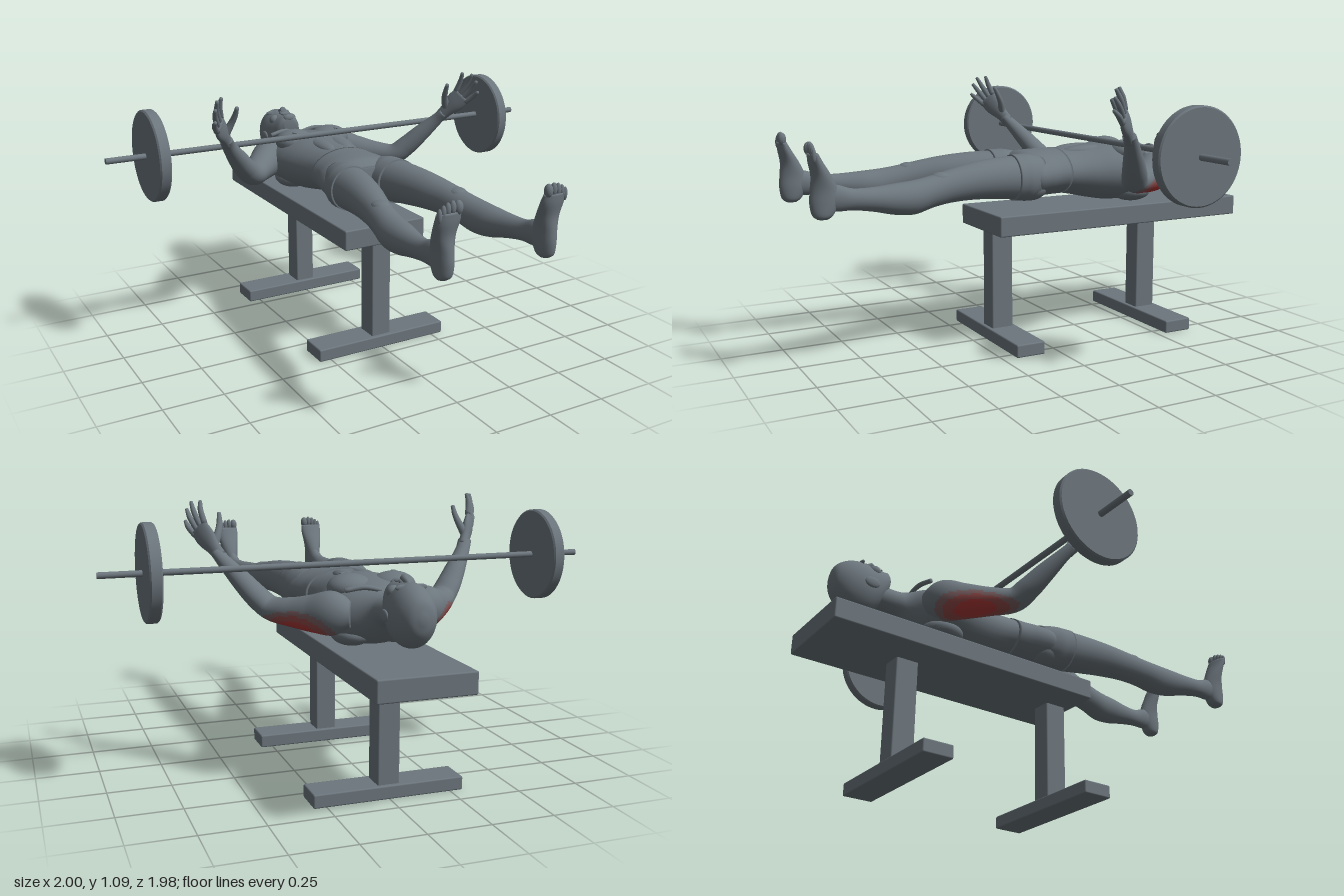
import * as THREE from 'three';
import { toCreasedNormals } from 'three/addons/utils/BufferGeometryUtils.js';
import { RoundedBoxGeometry } from 'three/addons/geometries/RoundedBoxGeometry.js';

const material = (name, color) => {
  const m = new THREE.MeshStandardMaterial({ color });
  m.name = name;
  return m;
};
const V = (x, y, z) => new THREE.Vector3(x, y, z);

export function createModel() {
  const root = new THREE.Group();
  root.name = 'benchPress';
  const grey = material('slateGrey', 0x6c767d);
  const redEdge = material('dullRed', 0x7c5f62);
  const redMid = material('mutedRed', 0x944a49);
  const redCore = material('muscleRed', 0xae3a38);

  const add = (name, geo, parent = root, mat = grey) => {
    const mesh = new THREE.Mesh(geo, mat);
    mesh.name = name;
    parent.add(mesh);
    return mesh;
  };
  const group = (name) => {
    const g = new THREE.Group();
    g.name = name;
    root.add(g);
    return g;
  };

  // Closed smooth skin through elliptical stations [x, y, z, a, b].
  // axis fixes the ring plane; without it rings follow the path.
  function loft(st, { axis = null, ref = V(1, 0, 0), seg = 28, sub = 5, paint = null } = {}) {
    const path = new THREE.CatmullRomCurve3(st.map(s => V(s[0], s[1], s[2])), false, 'catmullrom', 0.5);
    const size = new THREE.CatmullRomCurve3(st.map(s => V(s[3], s[4], 0)), false, 'catmullrom', 0.5);
    const steps = (st.length - 1) * sub;
    const pos = [];
    for (let i = -1; i <= steps + 1; i++) {
      const t = Math.min(1, Math.max(0, i / steps));
      const k = i < 0 || i > steps ? 0 : 1;
      const c = path.getPoint(t), r = size.getPoint(t);
      const n = axis || path.getTangent(t);
      const u = ref.clone().addScaledVector(n, -ref.dot(n)).normalize();
      const v = n.clone().cross(u);
      for (let j = 0; j < seg; j++) {
        const th = j / seg * Math.PI * 2;
        const p = c.clone().addScaledVector(u, k * r.x * Math.cos(th)).addScaledVector(v, k * r.y * Math.sin(th));
        pos.push(p.x, p.y, p.z);
      }
    }
    const lists = [[], [], [], []];
    for (let i = 0; i < steps + 2; i++) for (let j = 0; j < seg; j++) {
      const a = i * seg + j, b = i * seg + (j + 1) % seg;
      const list = lists[paint ? paint((i - 0.5) / steps, (j + 0.5) / seg * 2) : 0];
      list.push(a, b, b + seg, a, b + seg, a + seg);
    }
    const geo = new THREE.BufferGeometry();
    geo.setAttribute('position', new THREE.Float32BufferAttribute(pos, 3));
    geo.setIndex(lists.flat());
    if (paint) {
      let start = 0;
      lists.forEach((l, m) => { geo.addGroup(start, l.length, m); start += l.length; });
    }
    geo.computeVertexNormals();
    return geo;
  }
  const blob = (x, y, z, rx, ry, rz) => new THREE.SphereGeometry(1, 24, 16).scale(rx, ry, rz).translate(x, y, z);

  // Copy of a geometry reflected to the other side of the body
  function mirror(geo) {
    const g = geo.clone().scale(-1, 1, 1), ix = g.index.array;
    for (let i = 0; i < ix.length; i += 3) [ix[i], ix[i + 1]] = [ix[i + 1], ix[i]];
    g.computeVertexNormals();
    return g;
  }
  const pair = (name, geo, parent, mat = grey) => {
    add(name + 'Left', geo, parent, mat);
    add(name + 'Right', mirror(geo), parent, mat);
  };

  // Bench
  const bench = group('bench');
  const box = (name, w, h, d, y, z) =>
    add(name, new RoundedBoxGeometry(w, h, d, 2, 0.006).translate(0, y, z), bench);
  box('benchPad', 0.376, 0.085, 1.195, 0.518, -0.388);
  for (const [n, z] of [['front', 0.13], ['rear', -0.6]]) {
    box(n + 'Post', 0.088, 0.45, 0.096, 0.265, z);
    box(n + 'Foot', 0.604, 0.054, 0.128, 0.027, z);
  }

  // Barbell
  const bell = group('barbell');
  add('bar', new THREE.CylinderGeometry(0.0125, 0.0125, 2, 24).rotateZ(Math.PI / 2).translate(0, 0.845, -0.28), bell);
  const rim = [[0, -0.024], [0.181, -0.024], [0.187, -0.018], [0.187, 0.018], [0.181, 0.024], [0, 0.024]];
  for (const s of [-1, 1]) {
    const plate = new THREE.LatheGeometry(rim.map(p => new THREE.Vector2(...p)), 64);
    add('weightPlate', toCreasedNormals(plate.rotateZ(Math.PI / 2).translate(s * 0.813, 0.845, -0.28), 0.5), bell);
  }

  // Neck and torso: [z, half width, bottom, top]
  const body = group('body');
  const Z = V(0, 0, 1);
  const slices = (rows) => rows.map(([z, w, lo, hi]) => [0, (lo + hi) / 2, z, w, (hi - lo) / 2]);
  add('torso', loft(slices([
    [-0.76, 0.055, 0.675, 0.78], [-0.66, 0.064, 0.665, 0.775], [-0.615, 0.088, 0.63, 0.782],
    [-0.56, 0.165, 0.59, 0.80], [-0.50, 0.2, 0.566, 0.812], [-0.42, 0.196, 0.566, 0.822],
    [-0.36, 0.183, 0.57, 0.822], [-0.28, 0.164, 0.585, 0.812], [-0.2, 0.153, 0.603, 0.805],
    [-0.12, 0.158, 0.615, 0.803], [-0.04, 0.173, 0.612, 0.802], [0.03, 0.18, 0.61, 0.795],
    [0.075, 0.13, 0.63, 0.765]]), { axis: Z, seg: 40 }), body);
  add('shortsSeat', loft(slices([
    [-0.145, 0.161, 0.61, 0.807], [-0.09, 0.166, 0.609, 0.806], [-0.03, 0.181, 0.606, 0.805],
    [0.03, 0.187, 0.606, 0.798], [0.07, 0.14, 0.625, 0.77]]), { axis: Z, seg: 40 }), body);
  pair('chestMuscle', blob(0.088, 0.782, -0.455, 0.088, 0.052, 0.085), body);
  pair('nipple', blob(0.105, 0.828, -0.418, 0.012, 0.005, 0.012), body);
  pair('abdominal', blob(0.04, 0.79, -0.28, 0.038, 0.026, 0.12), body);
  pair('shoulderBlade', blob(0.09, 0.61, -0.48, 0.08, 0.046, 0.09), body);
  pair('buttock', blob(0.088, 0.66, 0.03, 0.082, 0.058, 0.08), body);
  pair('collarbone', loft([[0.015, 0.787, -0.592, 0.008, 0.008], [0.08, 0.80, -0.585, 0.01, 0.01],
    [0.15, 0.79, -0.575, 0.009, 0.009]], { ref: V(0, 1, 0), seg: 12 }), body);

  // Head and face
  const head = group('head');
  add('skull', loft(slices([
    [-0.936, 0.012, 0.725, 0.755], [-0.922, 0.047, 0.678, 0.802], [-0.885, 0.073, 0.637, 0.834],
    [-0.835, 0.084, 0.621, 0.85], [-0.785, 0.081, 0.628, 0.846], [-0.74, 0.07, 0.665, 0.843],
    [-0.705, 0.053, 0.725, 0.842], [-0.688, 0.028, 0.775, 0.828]]), { axis: Z, seg: 36 }), head);
  add('nose', loft([[0, 0.838, -0.815, 0.009, 0.01], [0, 0.851, -0.785, 0.011, 0.012],
    [0, 0.859, -0.765, 0.015, 0.014], [0, 0.848, -0.755, 0.012, 0.006]], { axis: Z, seg: 16 }), head);
  add('upperLip', blob(0, 0.846, -0.738, 0.026, 0.009, 0.006), head);
  add('lowerLip', blob(0, 0.845, -0.727, 0.022, 0.009, 0.006), head);
  add('chin', blob(0, 0.831, -0.703, 0.026, 0.018, 0.017), head);
  pair('nostril', blob(0.013, 0.846, -0.763, 0.008, 0.008, 0.008), head);
  pair('brow', blob(0.033, 0.834, -0.826, 0.027, 0.012, 0.008), head);
  pair('eye', blob(0.032, 0.83, -0.808, 0.014, 0.01, 0.008), head);
  pair('cheek', blob(0.042, 0.812, -0.77, 0.026, 0.024, 0.026), head);
  pair('ear', blob(0.086, 0.735, -0.795, 0.009, 0.022, 0.032), head);

  // Arms, with the triceps highlighted on the underside
  const arms = group('arms');
  const triceps = (t, th) => {
    const d = Math.hypot((t - 0.31) / 0.21, (th - 1.17) / 0.4);
    return d < 0.5 ? 3 : d < 0.78 ? 2 : d < 1 ? 1 : 0;
  };
  pair('arm', loft([
    [0.12, 0.70, -0.56, 0.05, 0.055], [0.18, 0.70, -0.53, 0.083, 0.075], [0.24, 0.692, -0.467, 0.071, 0.068],
    [0.30, 0.688, -0.395, 0.056, 0.061], [0.357, 0.693, -0.322, 0.047, 0.055], [0.405, 0.735, -0.285, 0.045, 0.051],
    [0.455, 0.795, -0.245, 0.039, 0.042], [0.507, 0.86, -0.2, 0.028, 0.03], [0.533, 0.9, -0.17, 0.022, 0.028]],
    { ref: V(0, 1, 0), seg: 48, sub: 10, paint: triceps }), arms, [grey, redEdge, redMid, redCore]);

  // Hands
  const across = V(0.46, -0.72, 0.46);
  pair('palm', loft([[0.52, 0.88, -0.183, 0.026, 0.022], [0.54, 0.912, -0.16, 0.03, 0.02],
    [0.565, 0.95, -0.132, 0.043, 0.019], [0.587, 0.988, -0.105, 0.042, 0.013]], { ref: across }), arms);
  const tips = [[0.575, 1.09, -0.092], [0.605, 1.085, -0.06], [0.62, 1.055, -0.045], [0.625, 1.008, -0.038]];
  tips.forEach((tip, i) => {
    const base = V(0.583, 0.981, -0.11).addScaledVector(across, -0.034 + i * 0.0227);
    const mid = base.clone().lerp(V(...tip), 0.55).add(V(0.006, 0.002, 0));
    pair('finger', loft([[...base.toArray(), 0.012, 0.012], [...mid.toArray(), 0.011, 0.011],
      [...tip, 0.007, 0.007]], { seg: 12 }), arms);
  });
  pair('thumb', loft([[0.54, 0.925, -0.16, 0.02, 0.017], [0.519, 0.968, -0.145, 0.015, 0.014],
    [0.508, 1.005, -0.125, 0.012, 0.011], [0.505, 1.042, -0.105, 0.008, 0.008]], { seg: 14 }), arms);

  // Legs: [z, inner, outer, bottom, top]
  const legs = group('legs');
  const limb = (rows) => rows.map(([z, i, o, lo, hi]) => [(i + o) / 2, (lo + hi) / 2, z, (o - i) / 2, (hi - lo) / 2]);
  pair('leg', loft(limb([
    [-0.02, 0.03, 0.165, 0.63, 0.78], [0.05, 0.012, 0.192, 0.61, 0.796], [0.12, 0.022, 0.199, 0.617, 0.796],
    [0.22, 0.045, 0.206, 0.628, 0.792], [0.32, 0.072, 0.215, 0.635, 0.782], [0.42, 0.103, 0.225, 0.634, 0.765],
    [0.5, 0.12, 0.238, 0.624, 0.749], [0.58, 0.13, 0.253, 0.606, 0.737], [0.66, 0.14, 0.257, 0.611, 0.731],
    [0.75, 0.165, 0.254, 0.632, 0.725], [0.83, 0.183, 0.249, 0.645, 0.727], [0.89, 0.186, 0.248, 0.645, 0.745],
    [0.94, 0.19, 0.244, 0.65, 0.745]]), { axis: Z, seg: 32 }), legs);
  pair('kneecap', blob(0.175, 0.738, 0.46, 0.036, 0.021, 0.045), legs);
  pair('shortsLeg', loft(limb([
    [-0.02, 0.03, 0.17, 0.63, 0.785], [0.05, 0.007, 0.196, 0.606, 0.8], [0.09, 0.01, 0.201, 0.609, 0.801],
    [0.122, 0.016, 0.205, 0.612, 0.801]]), { axis: Z, seg: 32 }), legs);

  // Feet point up: [y, inner, outer, instep z, sole z]
  pair('foot', loft([
    [0.622, 0.2, 0.24, 0.925, 0.967], [0.638, 0.188, 0.25, 0.905, 0.985], [0.68, 0.183, 0.253, 0.885, 0.993],
    [0.73, 0.183, 0.255, 0.888, 0.99], [0.78, 0.178, 0.263, 0.91, 0.985], [0.83, 0.171, 0.27, 0.94, 0.992],
    [0.865, 0.173, 0.271, 0.96, 0.994]].map(([y, i, o, f, b]) => [(i + o) / 2, y, (f + b) / 2, (o - i) / 2, (b - f) / 2]),
    { axis: V(0, 1, 0), seg: 28 }), legs);
  [[0.188, 0.879, 0.016], [0.211, 0.881, 0.012], [0.23, 0.877, 0.011], [0.247, 0.869, 0.01], [0.262, 0.859, 0.009]]
    .forEach(([x, y, r]) => pair('toe', blob(x, y, 0.982, r, 0.025, r), legs));

  return root;
}
